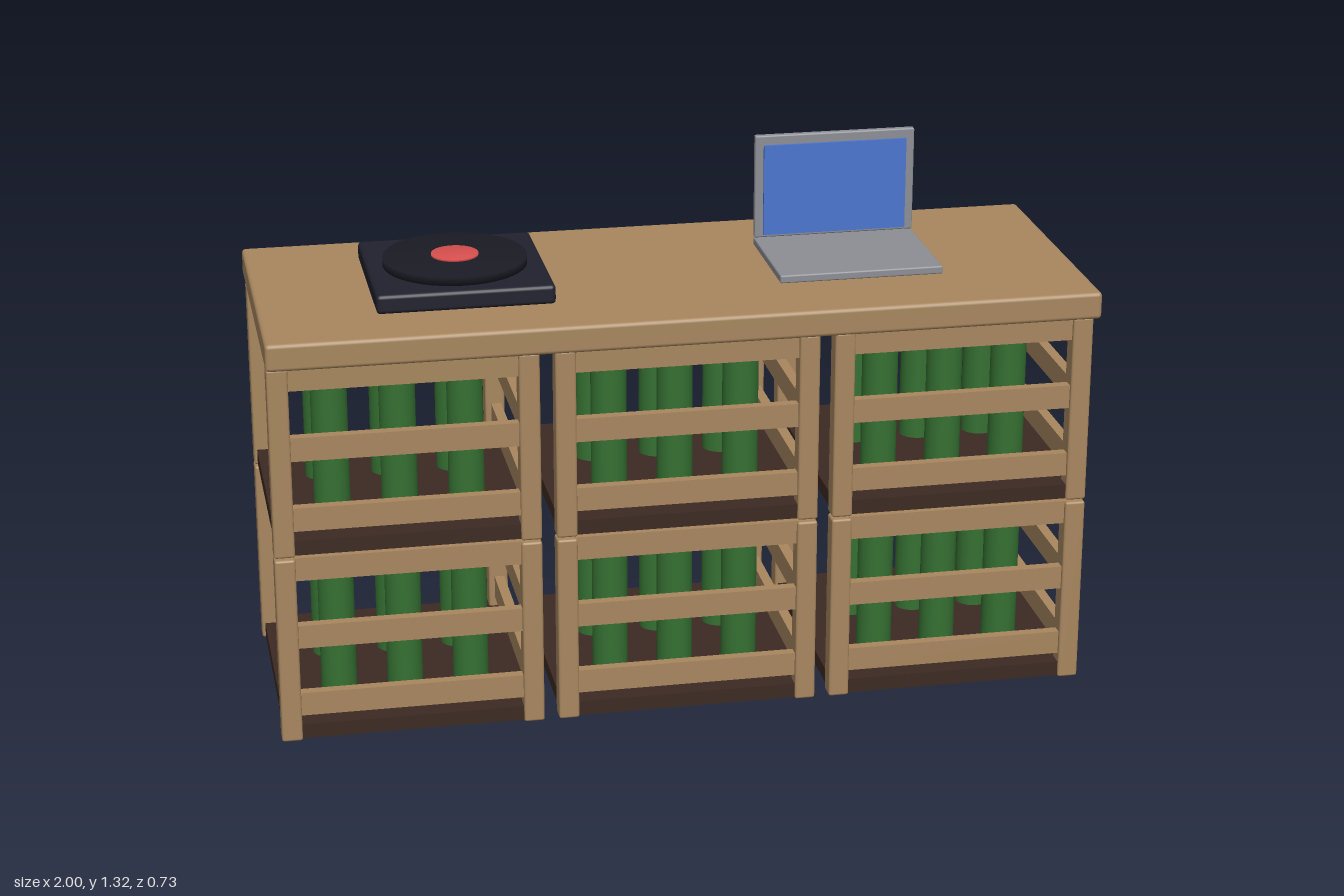
import * as THREE from 'three';
import { RoundedBoxGeometry } from 'three/addons/geometries/RoundedBoxGeometry.js';
import { mergeVertices } from 'three/addons/utils/BufferGeometryUtils.js';

const material = (name, color) => {
  const m = new THREE.MeshStandardMaterial({ color });
  m.name = name;
  return m;
};

export function createModel() {
  const wood = material('light wood', 0xa8875f);
  const darkWood = material('dark wood', 0x3c2a22);
  const glass = material('green glass', 0x357032);
  const black = material('deck black', 0x20212d);
  const vinyl = material('record black', 0x1a1b24);
  const red = material('label red', 0xd8504e);
  const grey = material('laptop grey', 0x8c8f95);
  const blue = material('screen blue', 0x4b76d0);

  const add = (parent, name, geometry, mat, x, y, z) => {
    const mesh = new THREE.Mesh(geometry, mat);
    mesh.name = name;
    mesh.position.set(x, y, z);
    parent.add(mesh);
    return mesh;
  };
  // Box given by its min and max corners, with optional rounded edges
  const box = (parent, name, mat, [x0, x1], [y0, y1], [z0, z1], r = 0) => {
    const s = [x1 - x0, y1 - y0, z1 - z0];
    const g = r ? new RoundedBoxGeometry(...s, 2, r) : new THREE.BoxGeometry(...s);
    return add(parent, name, g, mat, (x0 + x1) / 2, (y0 + y1) / 2, (z0 + z1) / 2);
  };
  // Disc whose normals blend softly over the rim
  const softDisc = (r, h) => {
    const g = new THREE.CylinderGeometry(r, r, h, 40);
    g.deleteAttribute('uv');
    g.deleteAttribute('normal');
    const merged = mergeVertices(g);
    merged.computeVertexNormals();
    return merged;
  };

  const model = new THREE.Group();
  model.name = 'crateDesk';

  // Crates: floor, four posts, slats on the front and the left side, six bottles
  const W = 0.32, H = 0.474, post = 0.05, zBack = -0.34, zFront = 0.322;
  const bottleGeometry = new THREE.CylinderGeometry(0.044, 0.044, 0.38, 24);
  const makeCrate = () => {
    const crate = new THREE.Group();
    crate.name = 'crate';
    box(crate, 'crateFloor', darkWood, [-W + 0.008, W - 0.008], [0.003, 0.04], [zBack + 0.008, zFront - 0.008]);
    for (const x of [-W, W - post]) {
      for (const z of [zBack, zFront - post]) {
        box(crate, 'post', wood, [x, x + post], [0, H], [z, z + post], 0.006);
      }
    }
    for (const y of [0.063, 0.24, 0.416]) {
      const span = [y, y + 0.059];
      box(crate, 'frontSlat', wood, [-W + post - 0.005, W - post + 0.005], span, [zFront - 0.035, zFront - 0.01]);
      box(crate, 'sideSlat', wood, [W - 0.035, W - 0.01], span, [zBack + post - 0.005, zFront - post + 0.005]);
    }
    for (const x of [-0.163, 0, 0.163]) {
      for (const z of [-0.1, 0.143]) add(crate, 'bottle', bottleGeometry, glass, x, 0.23, z);
    }
    return crate;
  };
  for (const x of [-0.677, -0.001, 0.675]) {
    for (const y of [0, 0.48]) {
      const crate = makeCrate();
      crate.position.set(x, y, 0);
      model.add(crate);
    }
  }

  // Desk board
  box(model, 'tabletop', wood, [-1, 1], [0.964, 1.031], [-0.366, 0.366], 0.01);

  // Record player
  const player = new THREE.Group();
  player.name = 'recordPlayer';
  player.position.set(-0.512, 0, -0.002);
  model.add(player);
  box(player, 'deck', black, [-0.213, 0.213], [1.034, 1.081], [-0.213, 0.213], 0.01);
  add(player, 'record', softDisc(0.174, 0.022), vinyl, 0, 1.091, 0);
  add(player, 'recordLabel', softDisc(0.057, 0.008), red, 0, 1.103, 0);

  // Laptop
  const laptop = new THREE.Group();
  laptop.name = 'laptop';
  model.add(laptop);
  box(laptop, 'laptopBase', grey, [0.255, 0.659], [1.033, 1.053], [-0.15, 0.161], 0.004);
  box(laptop, 'laptopLid', grey, [0.255, 0.659], [1.055, 1.317], [-0.152, -0.134], 0.004);
  box(laptop, 'laptopScreen', blue, [0.276, 0.637], [1.063, 1.293], [-0.134, -0.127]);

  return model;
}
